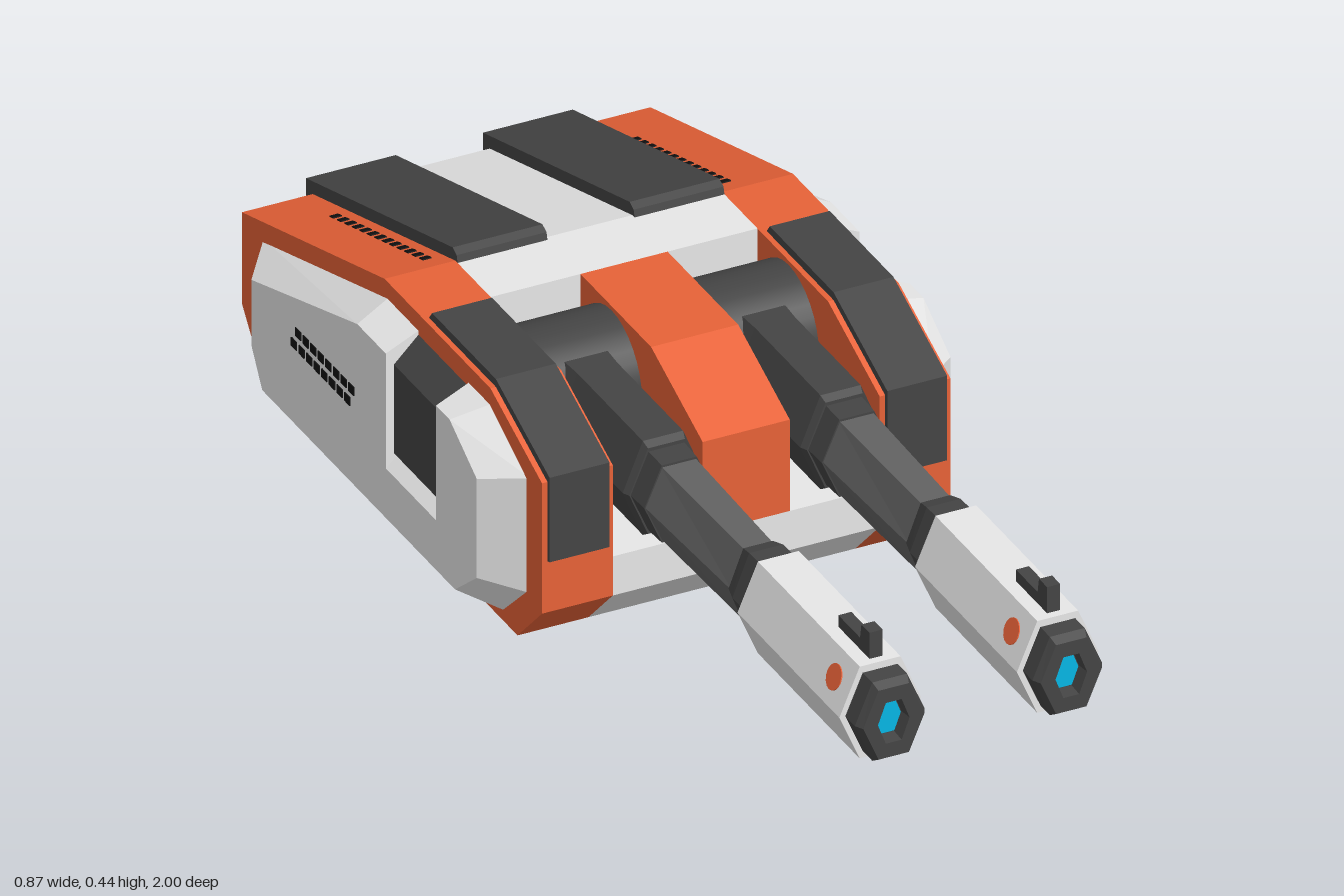
import * as THREE from 'three';
import { ConvexGeometry } from 'three/addons/geometries/ConvexGeometry.js';

const mat = (name, color) => Object.assign(new THREE.MeshStandardMaterial({ color }), { name });

export function createModel() {
  const white = mat('light grey armour', 0xf0f0f0);
  const orange = mat('orange armour', 0xea6338);
  const dark = mat('dark plating', 0x444444);
  const gunmetal = mat('gunmetal', 0x626262);
  const black = mat('black slots', 0x101010);
  const cyan = mat('cyan glow', 0x06b6e4);

  const root = new THREE.Group();
  root.name = 'turret';

  const add = (parent, name, geometry, material) => {
    const mesh = new THREE.Mesh(geometry, material);
    mesh.name = name;
    parent.add(mesh);
    return mesh;
  };

  // Extrudes a [z, y] outline across x, from xa to xb
  const slab = (outline, xa, xb) => {
    const shape = new THREE.Shape(outline.map(([z, y]) => new THREE.Vector2(-z, y)));
    const g = new THREE.ExtrudeGeometry(shape, { depth: Math.abs(xb - xa), bevelEnabled: false });
    return g.rotateY(Math.PI / 2).translate(Math.min(xa, xb), 0, 0);
  };

  // Flat-sided hexagonal tube through sections [z, halfWidth, halfHeight]
  const hexLoft = (sections) => {
    const pos = [];
    const point = ([z, w, h], i) => [
      [w, 0, z], [w / 2, h, z], [-w / 2, h, z], [-w, 0, z], [-w / 2, -h, z], [w / 2, -h, z],
    ][i % 6];
    const first = sections[0], last = sections[sections.length - 1];
    for (let i = 0; i < 6; i++) {
      for (let s = 0; s < sections.length - 1; s++) {
        const a = point(sections[s], i), b = point(sections[s], i + 1);
        const c = point(sections[s + 1], i + 1), d = point(sections[s + 1], i);
        pos.push(...a, ...b, ...c, ...a, ...c, ...d);
      }
      pos.push(0, 0, last[0], ...point(last, i), ...point(last, i + 1));
      pos.push(0, 0, first[0], ...point(first, i + 1), ...point(first, i));
    }
    const g = new THREE.BufferGeometry();
    g.setAttribute('position', new THREE.Float32BufferAttribute(pos, 3));
    g.computeVertexNormals();
    return g;
  };

  // Hull: orange flanks, light centre with two gun bays, orange spine
  const flank = [[0.04, 0], [0.13, 0.09], [0.13, 0.34], [-0.06, 0.42], [-0.45, 0.42],
    [-0.975, 0.265], [-0.975, 0.09], [-0.905, 0]];
  const centre = [[0.04, 0], [0.13, 0.09], [0.13, 0.165], [-0.32, 0.165], [-0.32, 0.42],
    [-0.45, 0.42], [-0.975, 0.265], [-0.975, 0.09], [-0.905, 0]];
  const spine = [[0.13, 0.165], [0.13, 0.34], [-0.06, 0.42], [-0.32, 0.42], [-0.32, 0.165]];
  add(root, 'centreHull', slab(centre, -0.245, 0.245), white);
  add(root, 'centreSpine', slab(spine, -0.08, 0.08), orange);

  // Armour plates lying on the hull
  const shoulder = [[0.12, 0.185], [0.138, 0.19], [0.138, 0.352], [-0.06, 0.435], [-0.295, 0.435],
    [-0.31, 0.415], [-0.06, 0.415], [0.12, 0.335]];
  const rearPlate = [[-0.44, 0.415], [-0.445, 0.433], [-0.46, 0.44], [-1, 0.282], [-1, 0.18],
    [-0.97, 0.16], [-0.97, 0.26], [-0.45, 0.415]];
  const rearSlope = Math.atan2(0.155, 0.525);

  // Side pod outlines: where it meets the hull and its outer face
  const podBase = [[0.078, 0.1], [-0.01, 0.018], [-0.87, 0.018], [-0.905, 0.1], [-0.905, 0.25],
    [-0.44, 0.39], [-0.06, 0.39], [0.078, 0.32]];
  const podOuter = [[0.01, 0.11], [-0.07, 0.045], [-0.78, 0.045], [-0.82, 0.11], [-0.82, 0.235],
    [-0.43, 0.36], [-0.09, 0.36], [0.01, 0.3]];
  const notchFront = -0.14, notchBack = -0.325;

  for (const s of [1, -1]) {
    const side = new THREE.Group();
    side.name = s > 0 ? 'leftSide' : 'rightSide';
    root.add(side);
    add(side, 'flank', slab(flank, s * 0.245, s * 0.375), orange);
    add(side, 'shoulderPlate', slab(shoulder, s * 0.255, s * 0.365), dark);
    add(side, 'rearPlate', slab(rearPlate, s * 0.08, s * 0.245), dark);

    // Row of small slots down the sloping top of the flank
    for (let i = 0; i < 13; i++) {
      const z = -0.5 - i * 0.0275;
      const slot = add(side, 'topSlot', new THREE.BoxGeometry(0.016, 0.004, 0.015), black);
      slot.position.set(s * 0.275, 0.42 + (z + 0.45) * Math.tan(rearSlope), z);
      slot.rotation.x = -rearSlope;
    }

    // Pod in three pieces around the notch
    const inner = ([z, y]) => new THREE.Vector3(s * 0.37, y, z);
    const outer = ([z, y]) => new THREE.Vector3(s * 0.435, y, z);
    const podPart = (keep, cut) => new ConvexGeometry([
      ...podBase.filter(keep).map(inner), ...podOuter.filter(keep).map(outer),
      ...[[cut, 0.018], [cut, 0.39]].map(inner), ...[[cut, 0.045], [cut, 0.36]].map(outer),
    ]);
    add(side, 'podFront', podPart(([z]) => z > notchFront, notchFront), white);
    add(side, 'podRear', podPart(([z]) => z < notchBack, notchBack), white);
    const sill = [], vent = [];
    for (const z of [notchFront, notchBack]) {
      sill.push(inner([z, 0.018]), inner([z, 0.2]), outer([z, 0.045]), outer([z, 0.14]));
      vent.push(inner([z, 0.16]), inner([z, 0.385]));
      for (const y of [0.165, 0.335]) vent.push(new THREE.Vector3(s * 0.42, y, z));
    }
    add(side, 'podSill', new ConvexGeometry(sill), white);
    add(side, 'podVent', new ConvexGeometry(vent), dark);

    // Two rows of plain slots on the pod
    for (let row = 0; row < 2; row++) {
      for (let i = 0; i < 8; i++) {
        const slot = add(side, 'podSlot', new THREE.BoxGeometry(0.004, 0.016, 0.02), black);
        slot.position.set(s * 0.435, 0.225 - row * 0.027, -0.45 - row * 0.015 - i * 0.028);
      }
    }

    // Gun mount drum, lying across the bay
    const drum = new THREE.CylinderGeometry(0.112, 0.112, 0.165, 32).rotateZ(Math.PI / 2);
    add(side, 'gunDrum', drum, dark).position.set(s * 0.1625, 0.3, -0.205);
    const cradle = new THREE.BoxGeometry(0.165, 0.06, 0.2);
    add(side, 'gunCradle', cradle, dark).position.set(s * 0.1625, 0.216, -0.21);

    // Gun, built around its own axis
    const gun = new THREE.Group();
    gun.name = 'gun';
    gun.position.set(s * 0.163, 0.295, 0);
    side.add(gun);
    add(gun, 'gunRoot', hexLoft([[-0.2, 0.08, 0.09], [-0.14, 0.08, 0.09], [-0.09, 0.074, 0.09],
      [0.15, 0.074, 0.09], [0.163, 0.068, 0.082]]), dark);
    add(gun, 'barrelRear', hexLoft([[0.15, 0.066, 0.076], [0.21, 0.064, 0.074]]), dark);
    add(gun, 'barrel', hexLoft([[0.2, 0.062, 0.07], [0.51, 0.052, 0.068]]), gunmetal);
    add(gun, 'barrelCollar', hexLoft([[0.5, 0.054, 0.07], [0.53, 0.062, 0.078], [0.58, 0.062, 0.08]]), dark);
    add(gun, 'barrelShroud', hexLoft([[0.575, 0.075, 0.088], [0.95, 0.075, 0.088]]), white);
    add(gun, 'muzzle', hexLoft([[0.94, 0.064, 0.075], [0.985, 0.064, 0.075], [1, 0.056, 0.066],
      [1, 0.029, 0.039], [0.975, 0.026, 0.035]]), dark);
    add(gun, 'muzzleGlow', hexLoft([[0.97, 0.024, 0.032], [0.978, 0.024, 0.032]]), cyan);
    add(gun, 'sight', slab([[0.935, 0.08], [0.935, 0.138], [0.905, 0.138], [0.9, 0.11],
      [0.82, 0.11], [0.82, 0.08]], -0.012, 0.012), dark);

    // Orange dots on both upper facets of the shroud
    for (const d of [1, -1]) {
      const dot = add(gun, 'shroudDot', new THREE.CylinderGeometry(0.023, 0.023, 0.004, 16), orange);
      dot.position.set(d * 0.0563, 0.044, 0.895);
      dot.rotation.z = -d * Math.atan2(0.088, 0.0375);
    }
  }
  return root;
}
